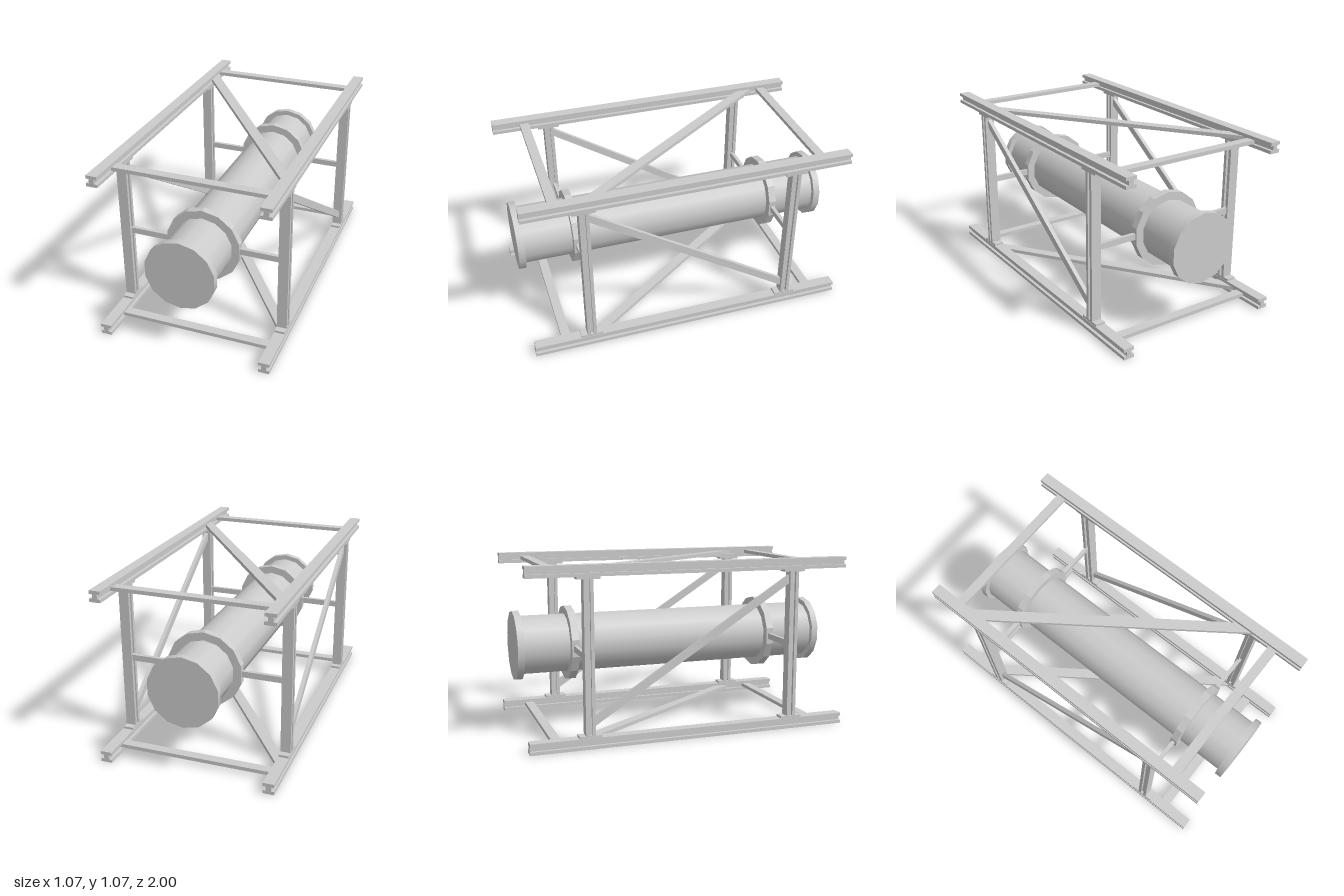
import * as THREE from 'three';

const steel = new THREE.MeshStandardMaterial({ color: 0xcccccc });
const faceted = new THREE.MeshStandardMaterial({ color: 0xcccccc, flatShading: true });

const polygon = pts => new THREE.Shape(pts.map(([x, y]) => new THREE.Vector2(x, y)));

// Extrudes a shape along z, centred on its depth
function prism(shape, depth) {
  const geo = new THREE.ExtrudeGeometry(shape, { depth, bevelEnabled: false });
  return geo.translate(0, 0, -depth / 2);
}

// I-beam section: flanges at +y and -y, web along y
function iSection(width, height, flange, web) {
  const w = width / 2, h = height / 2, f = h - flange, t = web / 2;
  return polygon([
    [-w, -h], [w, -h], [w, -f], [t, -f], [t, f], [w, f],
    [w, h], [-w, h], [-w, f], [-t, f], [-t, -f], [-w, -f],
  ]);
}

export function createModel() {
  const model = new THREE.Group();
  model.name = 'framedPipe';

  const add = (name, geo, x = 0, y = 0, z = 0, mat = steel) => {
    const mesh = new THREE.Mesh(geo, mat);
    mesh.name = name;
    mesh.position.set(x, y, z);
    model.add(mesh);
  };

  const beamX = 0.5, postZ = 0.645, levels = [0.037, 1.037];
  const axisY = 0.538, clampZ = [0.638, -0.655];

  // Long I-beam rails at the four corners
  const rail = prism(iSection(0.067, 0.067, 0.02, 0.03), 2);
  for (const x of [-beamX, beamX])
    for (const y of [0.0335, 1.0365]) add('rail', rail, x, y);

  // Upright I-beam posts with their end plates
  const post = prism(iSection(0.062, 0.058, 0.02, 0.03), 0.933).rotateX(Math.PI / 2);
  const plate = new THREE.BoxGeometry(0.062, 0.014, 0.136);
  for (const x of [-beamX, beamX])
    for (const z of [-postZ, postZ]) {
      add('post', post, x, 0.535, z);
      add('bottomPlate', plate, x, 0.074, z);
      add('topPlate', plate, x, 0.996, z);
    }

  // Flat crossbars and horizontal diagonals, top and bottom
  const crossbar = new THREE.BoxGeometry(0.955, 0.023, 0.057);
  const flatDiagonal = prism(polygon([
    [-0.475, 0.655], [0.475, -0.655], [0.475, -0.55], [-0.475, 0.768],
  ]), 0.023).rotateX(-Math.PI / 2);
  for (const y of levels) {
    for (const z of [0.8, -0.83]) add('crossbar', crossbar, 0.004, y, z);
    add('horizontalBrace', flatDiagonal, 0, y);
  }

  // Side diagonals, high at the front and low at the back
  const sideDiagonal = prism(polygon([
    [-0.62, 0.918], [0.62, 0.128], [0.62, 0.183], [-0.62, 0.97],
  ]), 0.025).rotateY(Math.PI / 2);
  for (const x of [-beamX, beamX]) add('sideBrace', sideDiagonal, x);

  // Pipe with an end flange on each end
  const drum = (r, len) => new THREE.CylinderGeometry(r, r, len, 14).rotateX(Math.PI / 2);
  add('pipe', drum(0.183, 1.98), 0, axisY);
  for (const s of [-1, 1]) add('endFlange', drum(0.215, 0.042), 0, axisY, s * 0.979);

  // Clamps around the pipe, held by arms from the posts
  const clamp = drum(0.233, 0.046);
  const arm = new THREE.BoxGeometry(0.28, 0.037, 0.023);
  for (const z of clampZ) {
    add('clamp', clamp, 0, axisY, z, faceted);
    for (const s of [-1, 1]) add('supportArm', arm, s * 0.345, axisY, z);
  }

  return model;
}
